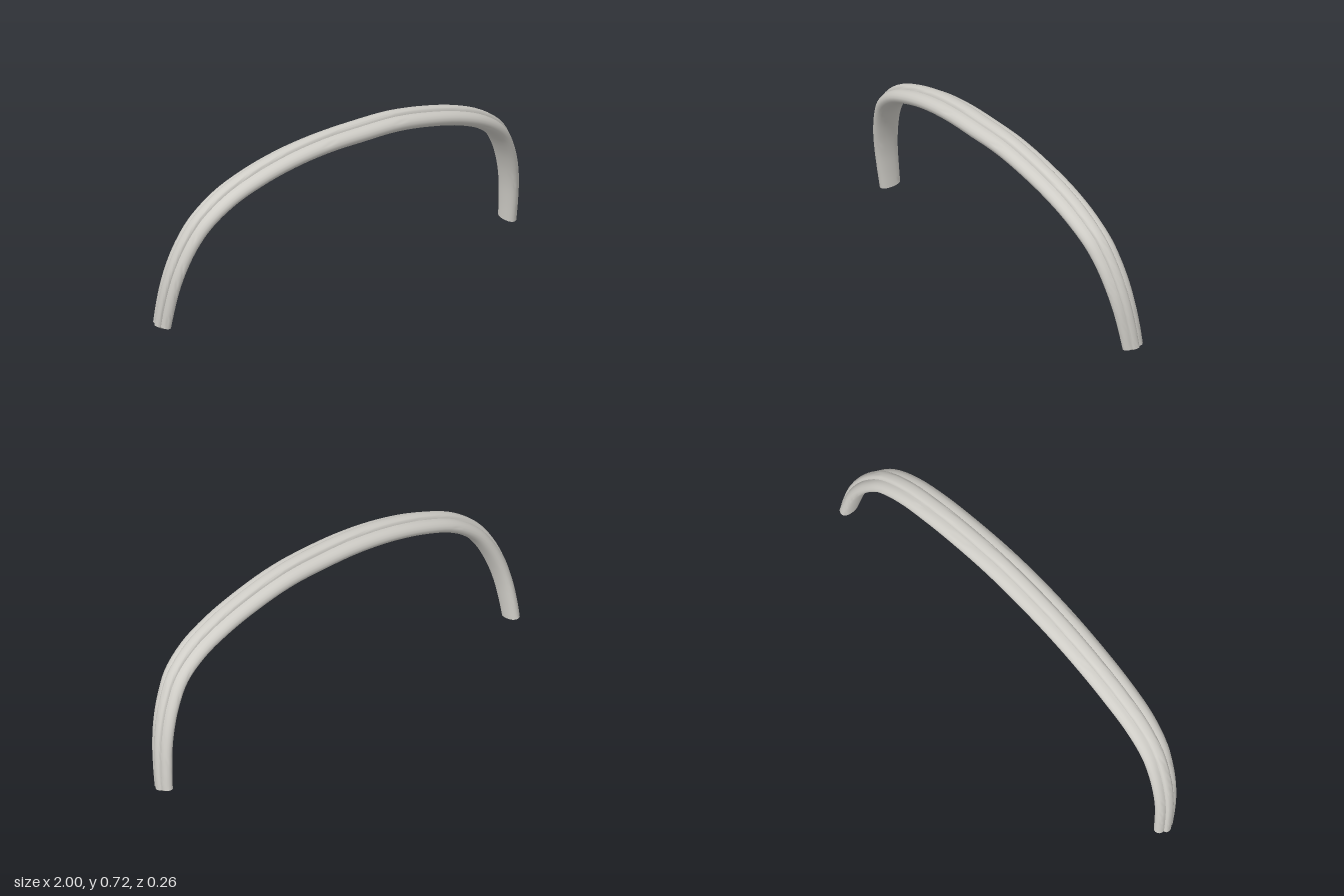
import * as THREE from 'three';
import { toCreasedNormals } from 'three/addons/utils/BufferGeometryUtils.js';

// Half path along the crest of the ridge: x, y, z, half width, depth
const HALF = [
  [0.2, 0.716, 0.05, 0.074, 0.084],
  [0.4, 0.69, 0.043, 0.073, 0.082],
  [0.58, 0.645, 0.034, 0.072, 0.08],
  [0.73, 0.585, 0.023, 0.069, 0.078],
  [0.85, 0.495, 0.005, 0.064, 0.075],
  [0.915, 0.4, -0.015, 0.06, 0.071],
  [0.957, 0.3, -0.034, 0.057, 0.068],
  [0.982, 0.2, -0.052, 0.053, 0.066],
  [0.994, 0.1, -0.069, 0.05, 0.064],
  [0.999, 0.018, -0.082, 0.047, 0.062],
];

// Half section from ridge crest to underside: share of half width, share of depth
const SECTION = [
  [0, 0], [0.16, -0.01], [0.28, -0.05], [0.34, -0.11], [0.365, -0.22],
  [0.5, -0.215], [0.68, -0.24], [0.83, -0.31], [0.94, -0.42], [1, -0.56],
  [0.97, -0.7], [0.86, -0.82], [0.68, -0.91], [0.38, -0.975], [0, -1],
];

function createBandGeometry() {
  const stations = [
    ...HALF.slice().reverse().map(([x, ...rest]) => [-x, ...rest]),
    [0, 0.722, 0.053, 0.075, 0.086],
    // the right-hand half sags very slightly past the crown
    ...HALF.map(([x, y, ...rest]) => [x, y - (x > 0.3 && x < 0.8 ? 0.005 : 0), ...rest]),
  ];
  const path = new THREE.CatmullRomCurve3(stations.map((s) => new THREE.Vector3(s[0], s[1], s[2])));
  const outline = [
    ...SECTION,
    ...SECTION.slice(1, -1).reverse().map(([u, v]) => [-u, v]),
  ];
  const n = outline.length;
  const steps = (stations.length - 1) * 4;
  const pos = [];
  const index = [];
  const ends = [];

  // Rings of the section, kept square to the path
  for (let i = 0; i <= steps; i++) {
    const t = i / steps;
    const f = t * (stations.length - 1);
    const k = Math.min(Math.floor(f), stations.length - 2);
    const width = THREE.MathUtils.lerp(stations[k][3], stations[k + 1][3], f - k);
    const depth = THREE.MathUtils.lerp(stations[k][4], stations[k + 1][4], f - k);
    const p = path.getPoint(t);
    const along = path.getTangent(t);
    const across = new THREE.Vector3(0, 0, 1).addScaledVector(along, -along.z).normalize();
    const out = new THREE.Vector3().crossVectors(across, along);
    for (const [u, v] of outline) {
      const q = p.clone().addScaledVector(across, u * width).addScaledVector(out, v * depth);
      pos.push(q.x, q.y, q.z);
    }
    if (i === 0 || i === steps) {
      ends.push(p.clone().addScaledVector(out, -depth * 0.5).addScaledVector(along, i ? 0.016 : -0.016));
    }
  }
  for (let i = 0; i < steps; i++) {
    for (let j = 0; j < n; j++) {
      const a = i * n + j;
      const b = i * n + (j + 1) % n;
      index.push(a, b, a + n, b, b + n, a + n);
    }
  }

  // Shallow pointed caps on both feet
  const c = pos.length / 3;
  ends.forEach((e) => pos.push(e.x, e.y, e.z));
  for (let j = 0; j < n; j++) {
    const k = (j + 1) % n;
    index.push(c, k, j, c + 1, steps * n + j, steps * n + k);
  }

  const geometry = new THREE.BufferGeometry();
  geometry.setAttribute('position', new THREE.Float32BufferAttribute(pos, 3));
  geometry.setIndex(index);
  return toCreasedNormals(geometry, 0.75);
}

export function createModel() {
  const group = new THREE.Group();
  group.name = 'archedBand';
  const material = new THREE.MeshStandardMaterial({ color: 0xcfcdc7 });
  material.name = 'warm light grey';
  const band = new THREE.Mesh(createBandGeometry(), material);
  band.name = 'ridgedBand';
  group.add(band);
  return group;
}
